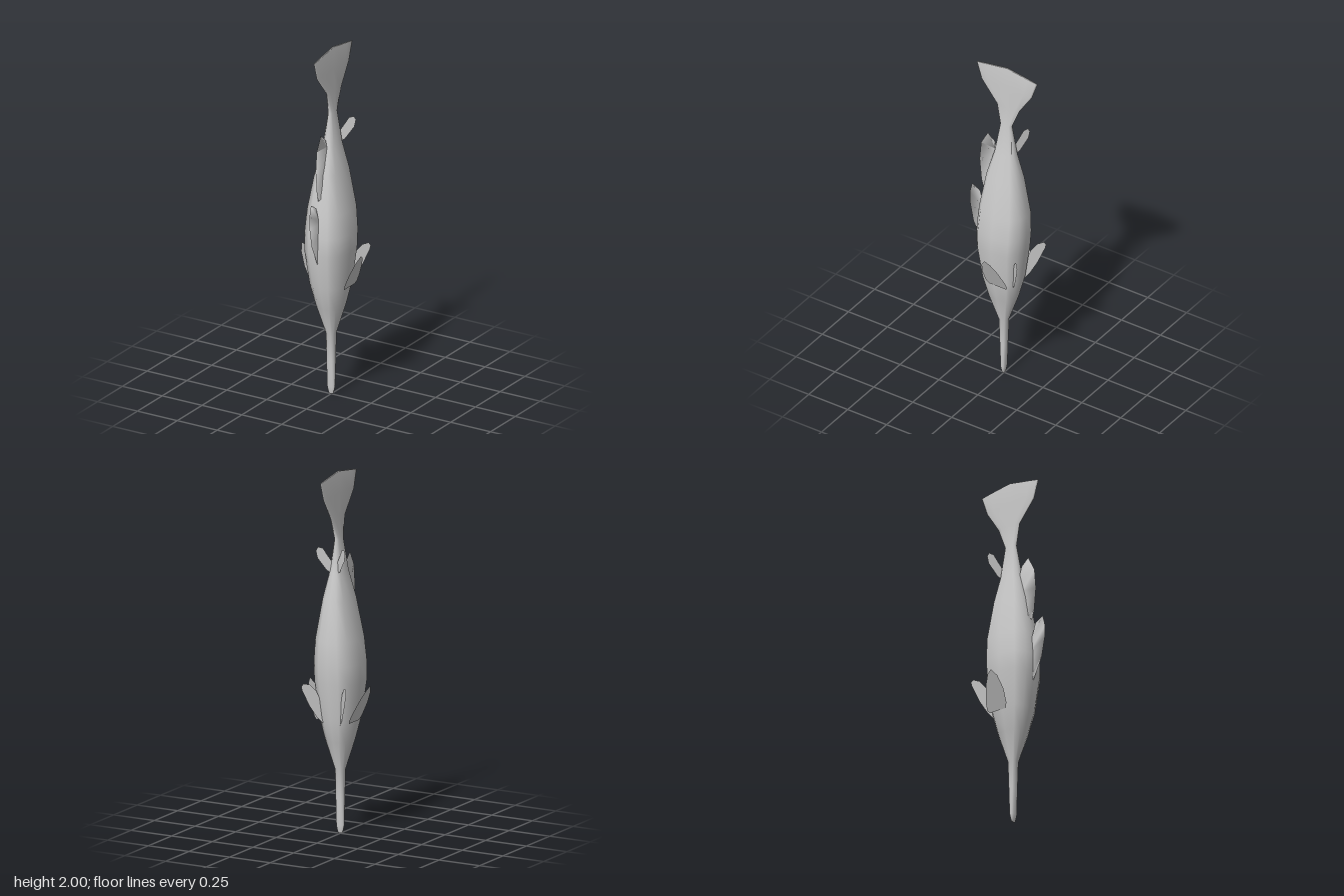
import * as THREE from 'three';

const material = new THREE.MeshStandardMaterial({ color: 0xcccccc });
const thin = new THREE.MeshStandardMaterial({ color: 0xcccccc, side: THREE.DoubleSide });

function makeMesh(name, positions, indices, mat) {
  const geometry = new THREE.BufferGeometry();
  geometry.setAttribute('position', new THREE.Float32BufferAttribute(positions, 3));
  geometry.setIndex(indices);
  geometry.computeVertexNormals();
  const mesh = new THREE.Mesh(geometry, mat);
  mesh.name = name;
  return mesh;
}

// Twelve-sided rounded cross-section as unit [x, z] pairs
const quarter = [[0, 1], [0.48, 0.95], [0.88, 0.68]];
const ring = [
  ...quarter, [1, 0],
  ...quarter.slice(1).reverse().map(([x, z]) => [x, -z]), [0, -1],
  ...quarter.slice(1).map(([x, z]) => [-x, -z]), [-1, 0],
  ...quarter.slice(1).reverse().map(([x, z]) => [-x, z]),
];

// Snout, body and tail: [y, half width, front z, back z, rise at middle]
const sections = [
  [0.005, 0, 0, 0, 0],
  [0.01, 0.015, 0.005, -0.005, 0],
  [0.05, 0.023, 0.012, -0.012, 0],
  [0.2, 0.024, 0.019, -0.019, 0],
  [0.36, 0.026, 0.026, -0.026, 0],
  [0.52, 0.069, 0.08, -0.078, 0],
  [0.65, 0.098, 0.115, -0.11, 0],
  [0.85, 0.122, 0.144, -0.135, 0],
  [0.95, 0.122, 0.143, -0.143, 0],
  [1.08, 0.111, 0.131, -0.143, 0],
  [1.3, 0.073, 0.093, -0.113, 0],
  [1.45, 0.039, 0.05, -0.077, 0],
  [1.63, 0.015, 0.02, -0.05, 0],
  [1.75, 0.01, 0.045, -0.1, 0],
  [1.87, 0.009, 0.145, -0.18, 0.01],
  [1.97, 0.006, 0.175, -0.215, 0.03],
  [1.97, 0, 0.175, -0.215, 0.03],
];

function buildBody() {
  const positions = [], indices = [], n = ring.length;
  sections.forEach(([y, w, front, back, rise], i) => {
    const c = (front + back) / 2, h = (front - back) / 2;
    ring.forEach(([x, z], j) => {
      positions.push(x * w, y + rise * (1 - Math.abs(z)), c + z * h);
      if (i === sections.length - 1) return;
      const a = i * n + j, b = i * n + (j + 1) % n;
      indices.push(a, b, a + n, b, b + n, a + n);
    });
  });
  return makeMesh('body', positions, indices, material);
}

// Dorsal fin: wedge section, open at the base; rows are [base z, base y, edge z, edge y]
function buildDorsal(name, rows, width) {
  const positions = [], indices = [];
  rows.forEach(([bz, by, ez, ey], i) => {
    const w = width * (1 - 0.75 * i / (rows.length - 1));
    positions.push(w, by, bz, 0, ey, ez, -w, by, bz);
    if (i === rows.length - 1) return;
    const a = i * 3;
    indices.push(a, a + 3, a + 1, a + 3, a + 4, a + 1);
    indices.push(a + 1, a + 4, a + 2, a + 4, a + 5, a + 2);
  });
  return makeMesh(name, positions, indices, thin);
}

// Paired flat fin: an outline of [u, v] placed by a mapping, mirrored across x
function buildPair(name, outline, place) {
  const group = new THREE.Group();
  group.name = name + 's';
  const shape = new THREE.Shape(outline.map(([u, v]) => new THREE.Vector2(u, v)));
  for (const side of [1, -1]) {
    const geometry = new THREE.ShapeGeometry(shape);
    const p = geometry.attributes.position;
    for (let i = 0; i < p.count; i++) {
      const [x, y, z] = place(p.getX(i), p.getY(i));
      p.setXYZ(i, side * x, y, z);
    }
    geometry.computeVertexNormals();
    const mesh = new THREE.Mesh(geometry, thin);
    mesh.name = (side > 0 ? 'left ' : 'right ') + name;
    group.add(mesh);
  }
  return group;
}

export function createModel() {
  const model = new THREE.Group();
  model.name = 'fish';
  model.add(buildBody());

  // Two fins along the back
  model.add(buildDorsal('frontDorsalFin', [
    [0.12, 0.82, 0.14, 0.8], [0.12, 0.9, 0.197, 0.92], [0.12, 0.97, 0.218, 1.03],
    [0.12, 1.03, 0.22, 1.1], [0.135, 1.06, 0.205, 1.16], [0.155, 1.13, 0.19, 1.155],
  ], 0.01));
  model.add(buildDorsal('rearDorsalFin', [
    [0.1, 1.18, 0.13, 1.16], [0.09, 1.23, 0.145, 1.21], [0.07, 1.34, 0.157, 1.34],
    [0.05, 1.41, 0.147, 1.45], [0.052, 1.45, 0.105, 1.53], [0.06, 1.49, 0.09, 1.52],
  ], 0.013));

  // Side fins, flaring outwards as they rise
  model.add(buildPair('pectoralFin', [
    [0.03, 0.635], [0.043, 0.66], [0.047, 0.73], [0.03, 0.8], [0, 0.84], [-0.03, 0.82],
    [-0.06, 0.77], [-0.088, 0.69], [-0.092, 0.65], [-0.08, 0.635],
  ], (z, y) => [0.105 + (y - 0.65) * 0.43, y, z]));

  // Belly fins, splayed diagonally
  model.add(buildPair('pelvicFin', [
    [-0.09, 0.62], [-0.115, 0.655], [-0.145, 0.72], [-0.175, 0.81], [-0.178, 0.83],
    [-0.17, 0.847], [-0.145, 0.84], [-0.118, 0.8], [-0.1, 0.74],
  ], (z, y) => [-z - 0.04, y, z]));

  // Small fins in front of the tail
  model.add(buildPair('analFin', [
    [0.01, 1.44], [0.04, 1.46], [0.083, 1.53], [0.09, 1.57], [0.08, 1.59],
    [0.058, 1.583], [0.035, 1.54], [0.012, 1.5],
  ], (x, y) => [x, y, -0.05 - 0.62 * x]));

  return model;
}
